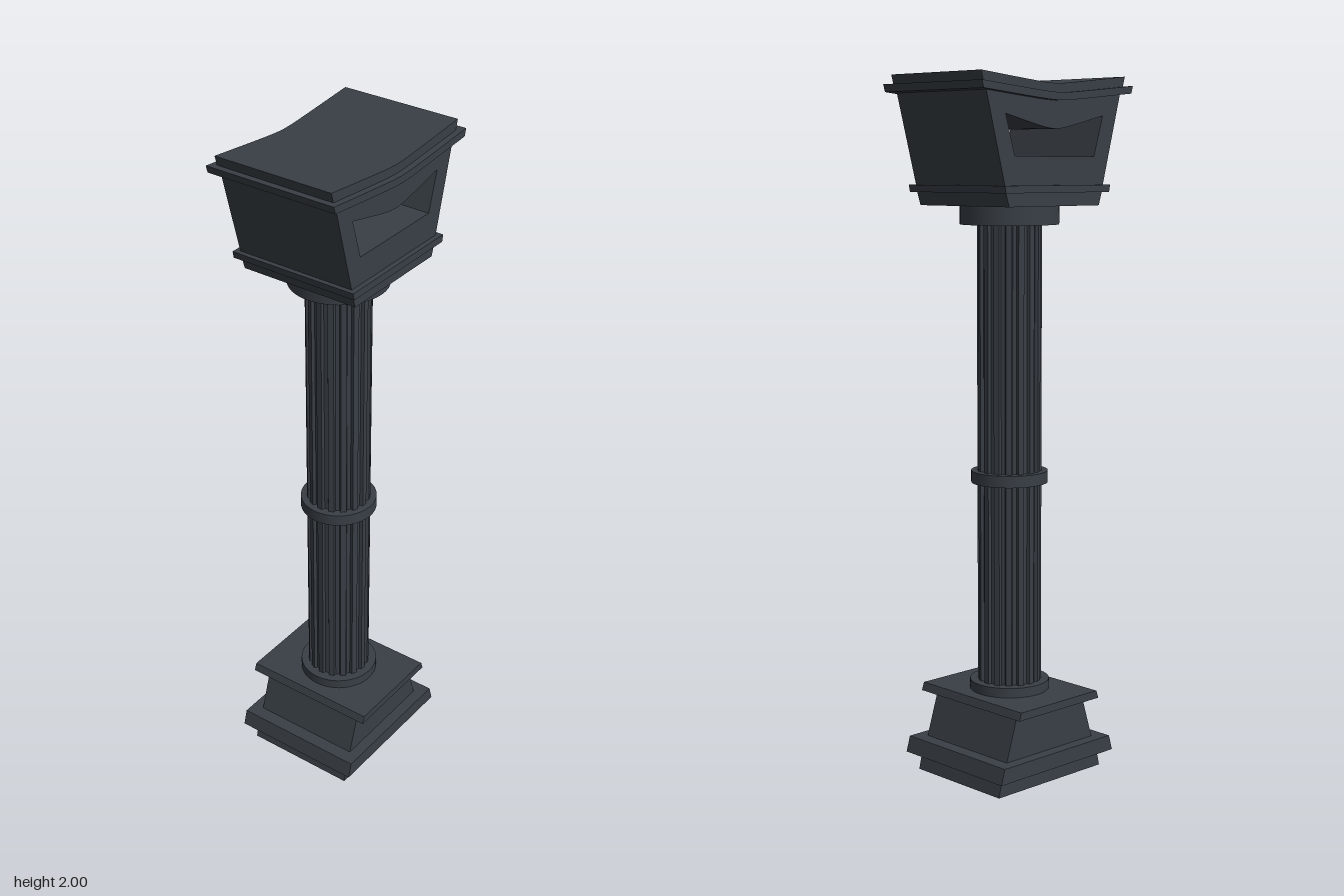
import * as THREE from 'three';
import { toCreasedNormals } from 'three/addons/utils/BufferGeometryUtils.js';

const iron = new THREE.MeshStandardMaterial({ color: 0x393f46 });
iron.name = 'dark iron';

export function createModel() {
  const model = new THREE.Group();
  model.name = 'pedestal';

  const add = (name, geometry) => {
    const mesh = new THREE.Mesh(geometry, iron);
    mesh.name = name;
    model.add(mesh);
  };

  // Extrudes a (z, y) outline along x, to x = +-halfWidth
  const prism = (name, outline, halfWidth, hole) => {
    const shape = new THREE.Shape(outline.map(([z, y]) => new THREE.Vector2(z, y)));
    if (hole) shape.holes.push(new THREE.Path(hole.map(([z, y]) => new THREE.Vector2(z, y))));
    const g = new THREE.ExtrudeGeometry(shape, { depth: 2 * halfWidth, bevelEnabled: false });
    g.rotateY(-Math.PI / 2).translate(halfWidth, 0, 0);
    add(name, toCreasedNormals(g, 0.5));
  };

  // Block whose depth changes from bottom to top
  const taper = (name, y0, y1, z0, z1, halfWidth) =>
    prism(name, [[-z0, y0], [z0, y0], [z1, y1], [-z1, y1]], halfWidth);

  const disc = (name, y0, y1, r) => {
    const g = new THREE.CylinderGeometry(r, r, y1 - y0, 40);
    add(name, g.translate(0, (y0 + y1) / 2, 0));
  };

  // Shallow valley line, from edge height down to the middle
  const valley = (halfDepth, edgeY, drop) => {
    const points = [];
    const soft = 0.035, n = 16;
    const f = z => Math.hypot(z, soft) - soft;
    for (let i = 0; i <= n; i++) {
      const z = -halfDepth + (2 * halfDepth * i) / n;
      points.push([z, edgeY - drop * (1 - f(z) / f(halfDepth))]);
    }
    return points;
  };
  // Closed outline between a lower and an upper valley line
  const band = (zLow, yLow, zHigh, yHigh, drop) =>
    [...valley(zLow, yLow, drop), ...valley(zHigh, yHigh, drop).reverse()];

  // Stepped base
  taper('baseFoot', 0, 0.05, 0.204, 0.192, 0.17);
  taper('baseMoulding', 0.05, 0.095, 0.225, 0.212, 0.202);
  taper('baseBlock', 0.095, 0.222, 0.172, 0.132, 0.168);
  taper('baseCap', 0.222, 0.245, 0.16, 0.152, 0.206);

  // Fluted column shaft
  const flutes = 16, shaft = new THREE.Shape();
  for (let i = 0; i < flutes; i++) {
    [[0, 0.092], [0.46, 0.092], [0.56, 0.083], [0.9, 0.083]].forEach(([t, r], k) => {
      const a = ((i + t - 0.23) / flutes) * Math.PI * 2;
      const x = Math.cos(a) * r, y = Math.sin(a) * r;
      if (i + k === 0) shaft.moveTo(x, y);
      else shaft.lineTo(x, y);
    });
  }
  shaft.closePath();
  const shaftGeo = new THREE.ExtrudeGeometry(shaft, { depth: 1.33, bevelEnabled: false });
  add('flutedShaft', shaftGeo.rotateX(-Math.PI / 2).translate(0, 0.265, 0));

  // Round collars on the column
  disc('bottomCollar', 0.245, 0.273, 0.115);
  disc('middleRing', 0.855, 0.889, 0.11);
  disc('capitalDisc', 1.59, 1.645, 0.14);

  // Flared head with an opening through its sides
  taper('headFoot', 1.643, 1.68, 0.174, 0.186, 0.18);
  taper('headMoulding', 1.68, 1.7, 0.2, 0.204, 0.195);
  prism('headBody',
    [[-0.19, 1.7], [0.19, 1.7], ...valley(0.259, 1.957, 0.026).reverse()],
    0.18,
    [[-0.153, 1.778], [0.153, 1.778], ...valley(0.187, 1.89, 0.038).reverse()]);

  // Sagging roof in two layers
  prism('roofMoulding', band(0.284, 1.953, 0.29, 1.974, 0.025), 0.199);
  prism('roofTop', band(0.268, 1.972, 0.276, 2, 0.026), 0.181);

  return model;
}
